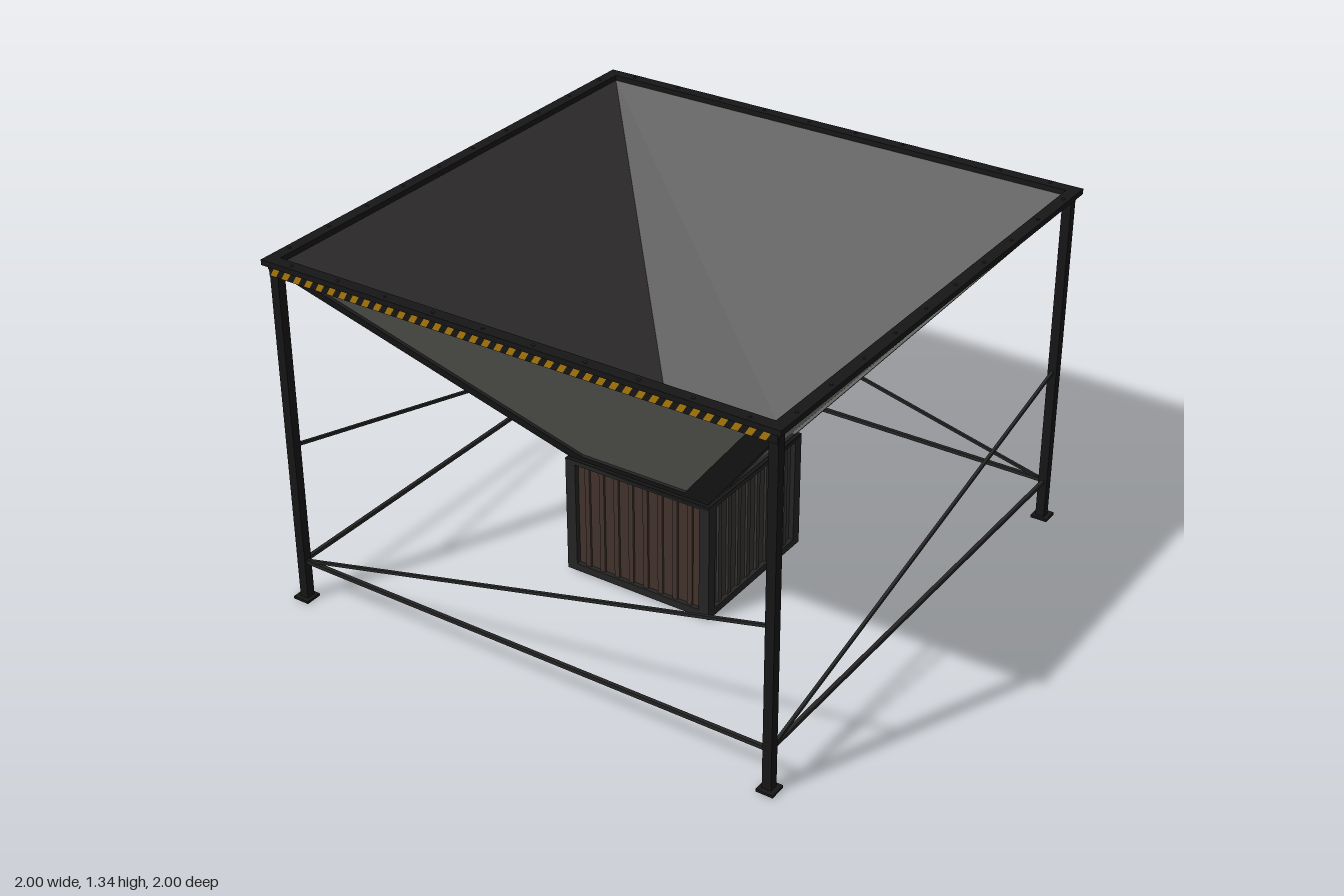
import * as THREE from 'three';

const mat = (color, extra = {}) => new THREE.MeshStandardMaterial({ color, ...extra });
const dark = mat(0x242424), black = mat(0x161616), panel = mat(0x7a7a74);
const sheet = mat(0x363433), rust = mat(0x42332d), yellow = mat(0xa87808, { side: THREE.DoubleSide });

const FUNNEL_BOTTOM = 0.47, FUNNEL_TOP = 1.325, THROAT = 0.255, MOUTH = 0.96;
const funnelHalf = y => THROAT + (MOUTH - THROAT) * (y - FUNNEL_BOTTOM) / (FUNNEL_TOP - FUNNEL_BOTTOM);

function add(parent, name, geometry, material, x = 0, y = 0, z = 0) {
  const mesh = new THREE.Mesh(geometry, material);
  mesh.name = name;
  mesh.position.set(x, y, z);
  parent.add(mesh);
  return mesh;
}

// Sweeps a closed profile [half width, y] around a square plan
function squareRing(profile) {
  const pts = [...profile, profile[0]].map(([h, y]) => new THREE.Vector2(h * Math.SQRT2, y));
  const geo = new THREE.LatheGeometry(pts, 4, Math.PI / 4).toNonIndexed();
  geo.computeVertexNormals();
  return geo;
}
const flatRing = (outer, inner, y0, y1) => squareRing([[outer, y0], [outer, y1], [inner, y1], [inner, y0]]);
const funnelShell = (inner, outer) => squareRing([
  [THROAT + outer, FUNNEL_BOTTOM], [MOUTH + outer, FUNNEL_TOP],
  [MOUTH + inner, FUNNEL_TOP], [THROAT + inner, FUNNEL_BOTTOM]]);

// Frame with a window, laid on a wall whose half width is half(y), mitred at the corners
function wallFrame(half, y0, y1, depth, [w0, wy0, w1, wy1]) {
  const shape = new THREE.Shape([[-half(y0), y0], [half(y0), y0], [half(y1), y1], [-half(y1), y1]]
    .map(p => new THREE.Vector2(...p)));
  shape.holes.push(new THREE.Path([[-w0, wy0], [-w1, wy1], [w1, wy1], [w0, wy0]]
    .map(p => new THREE.Vector2(...p))));
  const geo = new THREE.ExtrudeGeometry(shape, { depth, bevelEnabled: false });
  const pos = geo.attributes.position;
  for (let i = 0; i < pos.count; i++) {
    const x = pos.getX(i), y = pos.getY(i), d = pos.getZ(i), h = half(y);
    if (Math.abs(Math.abs(x) - h) < 1e-4) pos.setX(i, x + Math.sign(x) * d);
    pos.setZ(i, h + d);
  }
  geo.computeVertexNormals();
  return geo;
}

// Thin square bar between two points
function bar(parent, name, a, b, width, material) {
  const from = new THREE.Vector3(...a), to = new THREE.Vector3(...b);
  const mesh = add(parent, name, new THREE.BoxGeometry(from.distanceTo(to), width, width), material);
  mesh.position.copy(from).add(to).multiplyScalar(0.5);
  mesh.quaternion.setFromUnitVectors(new THREE.Vector3(1, 0, 0), to.sub(from).normalize());
}

// Slanted warning stripes along one edge of the rim
function hazardStripes() {
  const shapes = [], pitch = 0.0485, y0 = 1.283, y1 = 1.316;
  for (let i = 0; i < 40; i++) {
    const x = -0.975 + i * pitch;
    shapes.push(new THREE.Shape([
      new THREE.Vector2(x, y0), new THREE.Vector2(x + pitch / 2, y0),
      new THREE.Vector2(x + pitch / 2 + 0.02, y1), new THREE.Vector2(x + 0.02, y1)]));
  }
  return new THREE.ShapeGeometry(shapes);
}

export function createModel() {
  const model = new THREE.Group();
  model.name = 'hopper';

  // Funnel liner and outer panels, throat and rim
  add(model, 'funnelLiner', funnelShell(0, 0.01), sheet);
  add(model, 'funnelPanels', funnelShell(0.008, 0.022), panel);
  add(model, 'rimFlange', flatRing(1, 0.955, 1.32, 1.34), black);
  add(model, 'rimSkirt', flatRing(0.985, 0.965, 1.303, 1.32), dark);
  add(model, 'throatFlange', flatRing(0.303, 0.262, 0.455, 0.468), black);
  add(model, 'chuteLiner', flatRing(0.265, THROAT, 0.008, 0.47), rust);
  add(model, 'chutePanels', flatRing(0.282, 0.26, 0.012, 0.46), panel);

  const boltGeo = new THREE.CylinderGeometry(0.006, 0.006, 0.008, 6);
  const claddingGeo = new THREE.BoxGeometry(0.52, 0.415, 0.008);
  const ribGeo = new THREE.BoxGeometry(0.02, 0.415, 0.014);
  const funnelFrame = wallFrame(y => funnelHalf(y) + 0.01, FUNNEL_BOTTOM, 1.3, 0.026, [0.217, 0.513, 0.835, 1.243]);
  const chuteFrame = wallFrame(() => 0.272, 0.006, 0.465, 0.031, [0.262, 0.035, 0.262, 0.45]);
  const stripeGeo = hazardStripes();

  // Four sides, each turned a quarter further
  ['front', 'left', 'back', 'right'].forEach((sideName, i) => {
    const side = new THREE.Group();
    side.name = sideName + 'Side';
    side.rotation.y = i * Math.PI / 2;
    model.add(side);

    add(side, 'funnelFrame', funnelFrame, dark);
    add(side, 'chuteFrame', chuteFrame, dark);

    // Ribbed cladding on two chute faces
    if (i < 2) {
      const cladding = i === 0 ? rust : sheet;
      add(side, 'chuteCladding', claddingGeo, cladding, 0, 0.2425, 0.281);
      for (let k = 0; k < 8; k++) {
        add(side, 'chuteRib', ribGeo, cladding, (k - 3.5) * 0.062, 0.2425, 0.287);
      }
    }

    // Warning board on front and back
    if (i % 2 === 0) {
      add(side, 'warningBoard', new THREE.BoxGeometry(1.96, 0.037, 0.012), black, 0, 1.3, 0.98);
      add(side, 'warningStripes', stripeGeo, yellow, 0, 0, 0.9875);
    }

    // Rim bolts
    for (let k = 0; k < 10; k++) add(side, 'rimBolt', boltGeo, dark, (k - 4.5) * 0.196, 1.34, 0.98);

    // Leg, foot and bracing
    add(side, 'leg', new THREE.BoxGeometry(0.034, 1.31, 0.034), black, 0.965, 0.655, 0.965);
    add(side, 'footPlate', new THREE.BoxGeometry(0.064, 0.01, 0.064), black, 0.967, 0.005, 0.967);
    bar(side, 'lowerRail', [-0.96, 0.157, 0.965], [0.96, 0.157, 0.965], 0.014, dark);
    bar(side, 'diagonalBrace', [-0.96, 0.157, 0.965], [0.96, 0.625, 0.965], 0.011, dark);
  });

  return model;
}
